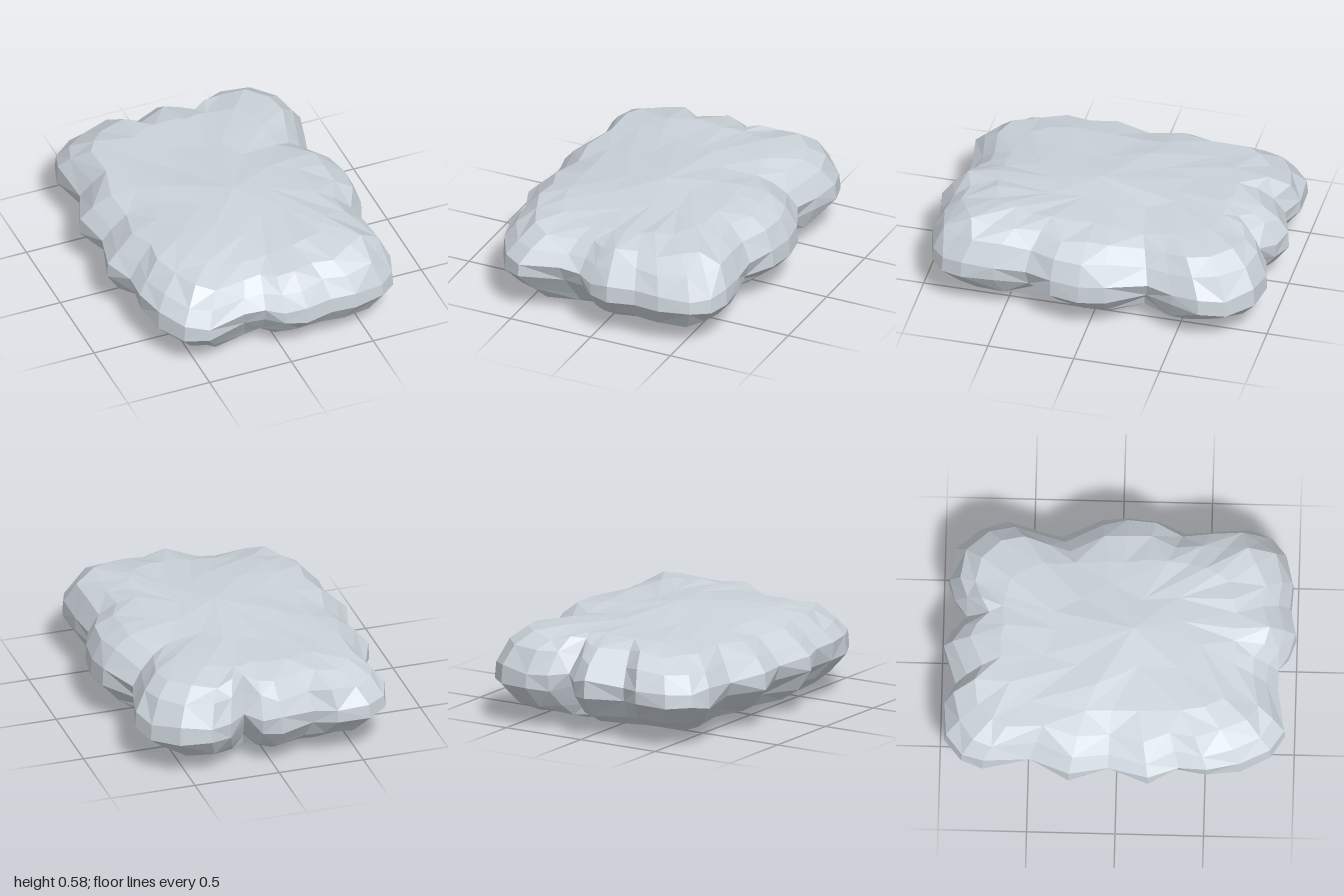
import * as THREE from 'three';

// Lobed plan outline (x, z), clockwise seen from above, starting at the back left
const OUTLINE = [
  [-0.71, -0.76], [-0.67, -0.88], [-0.55, -0.975], [-0.36, -0.99], [-0.24, -0.935], [-0.02, -1.0],
  [0.08, -0.965], [0.17, -0.89], [0.27, -0.95], [0.39, -0.975], [0.57, -0.945], [0.7, -0.81],
  [0.745, -0.66], [0.71, -0.5], [0.68, -0.35], [0.765, -0.12], [0.785, 0.03], [0.765, 0.2],
  [0.715, 0.37], [0.72, 0.55], [0.725, 0.73], [0.685, 0.85], [0.59, 0.93], [0.41, 0.975],
  [0.26, 0.965], [0.1, 1.0], [-0.02, 0.965], [-0.12, 0.92], [-0.25, 0.925], [-0.48, 0.95],
  [-0.6, 0.87], [-0.69, 0.7], [-0.74, 0.52], [-0.74, 0.36], [-0.79, 0.18], [-0.745, -0.05],
  [-0.775, -0.27], [-0.7, -0.5],
];

// Side profile: inset towards the core, height, how strongly creases cut in
const PROFILE = [
  [1, 0.045, 0], [0.55, 0.075, 0.5], [0.25, 0.135, 1], [0, 0.24, 0.7],
  [0.02, 0.33, 0.2], [0.2, 0.435, 0.4], [0.5, 0.51, 0.35], [1, 0.543, 0],
];
const RIM = 3;

// Creases between the lobes: x, z, depth
const CREASES = [
  [0.69, -0.34, 0.4], [0.17, -0.87, 0.4], [-0.2, 0.92, 0.4], [0.71, 0.39, 0.3],
  [-0.735, 0.4, 0.3], [-0.74, -0.05, 0.25], [-0.7, -0.5, 0.3], [-0.24, -0.93, 0.15],
];

// Hollows of the upper side: x, z, depth, spread
const HOLLOWS = [
  [-0.2, 0.8, 0.035, 0.06], [0.3, -0.25, 0.02, 0.12], [-0.25, -0.42, 0.02, 0.04],
  [0.58, -0.32, 0.04, 0.02], [-0.6, 0.05, 0.015, 0.05],
];

// Repeatable value from -1 to 1
function noise(i, j) {
  const s = Math.sin(i * 127.1 + j * 311.7) * 43758.5453;
  return 2 * (s - Math.floor(s)) - 1;
}

function swell(x, z) {
  return HOLLOWS.reduce((y, [cx, cz, depth, spread]) =>
    y - depth * Math.exp(-((x - cx) ** 2 + (z - cz) ** 2) / spread), 0.025 * x);
}

function cloudGeometry() {
  const n = OUTLINE.length;
  // Rounded rectangle inside the outline
  const core = OUTLINE.map(([x, z]) => {
    const u = x / 0.74, v = z / 0.95;
    const length = (u ** 4 + v ** 4) ** 0.25;
    return [0.44 * u / length, 0.66 * v / length];
  });

  // Puffy rim
  const rings = PROFILE.map(([inset, y, cut], r) => OUTLINE.map(([x, z], j) => {
    let t = inset;
    for (const [cx, cz, depth] of CREASES) {
      t += cut * depth * Math.exp(-((x - cx) ** 2 + (z - cz) ** 2) / 0.014);
    }
    if (r !== RIM && r !== RIM + 1) t += 0.05 * noise(r, j);
    t = Math.min(t, 1.05);
    const px = x + (core[j][0] - x) * t, pz = z + (core[j][1] - z) * t;
    const flat = r === 0 || r === PROFILE.length - 1;
    const lift = r > RIM + 1 ? swell(px, pz) : 0;
    return [px, y + lift + (flat ? 0.008 : 0.016) * noise(r + 20, j), pz];
  }));

  // Nearly flat underside and gently domed top, in broad facets of three outline steps
  const inner = (scale, y, rise, seed) => core.map((_, j) => {
    const step = j - j % 3;
    const k = scale * (1 + 0.25 * noise(seed, step));
    const px = core[step][0] * k, pz = core[step][1] * k;
    return [px, y + rise * swell(px, pz) + 0.006 * noise(seed + 1, step), pz];
  });
  rings.unshift(inner(0.5, 0.025, 0, 40));
  rings.push(inner(0.55, 0.555, 1, 50));

  const positions = [];
  const same = (a, b) => a.every((value, i) => value === b[i]);
  const tri = (a, b, c) => {
    if (!same(a, b) && !same(b, c) && !same(c, a)) positions.push(...a, ...b, ...c);
  };
  for (let r = 0; r < rings.length - 1; r++) {
    for (let j = 0; j < n; j++) {
      const k = (j + 1) % n;
      const a = rings[r][j], b = rings[r][k], c = rings[r + 1][k], d = rings[r + 1][j];
      if ((r + j) % 2) {
        tri(a, d, b);
        tri(b, d, c);
      } else {
        tri(a, d, c);
        tri(a, c, b);
      }
    }
  }
  const low = [-0.08, 0, 0], high = [0.03, 0.578, 0.08];
  const first = rings[0], last = rings[rings.length - 1];
  for (let j = 0; j < n; j++) {
    const k = (j + 1) % n;
    tri(low, first[j], first[k]);
    tri(high, last[k], last[j]);
  }

  const geometry = new THREE.BufferGeometry();
  geometry.setAttribute('position', new THREE.Float32BufferAttribute(positions, 3));
  geometry.computeVertexNormals();
  return geometry;
}

export function createModel() {
  const group = new THREE.Group();
  group.name = 'cloud';
  const paleGrey = new THREE.MeshStandardMaterial({ color: 0xcbd3da, flatShading: true });
  paleGrey.name = 'pale grey';
  const body = new THREE.Mesh(cloudGeometry(), paleGrey);
  body.name = 'cloudBody';
  group.add(body);
  return group;
}
